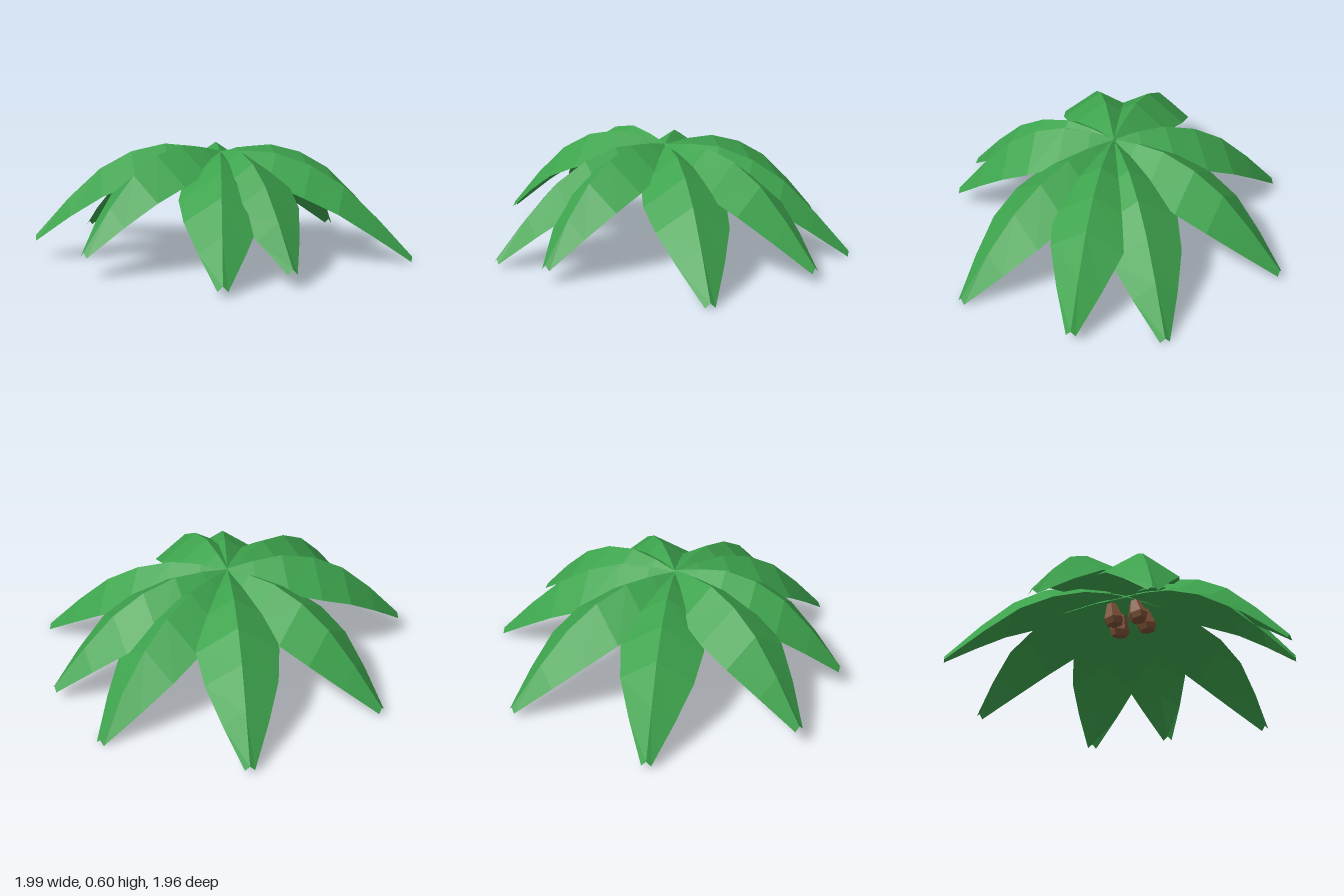
import * as THREE from 'three';

const green = new THREE.MeshStandardMaterial({ color: 0x3da34d, flatShading: true, side: THREE.DoubleSide });
green.name = 'leafGreen';
const brown = new THREE.MeshStandardMaterial({ color: 0x7f5238, flatShading: true });
brown.name = 'coconutBrown';

// Stations along a frond: [distance, ridge height, half width, edge drop, lift share]
const STATIONS = [
  [-0.02, 0.545, 0.045, 0.03, 0.1],
  [0.14, 0.565, 0.115, 0.08, 0.25],
  [0.30, 0.562, 0.19, 0.13, 0.5],
  [0.48, 0.505, 0.212, 0.14, 0.75],
  [0.65, 0.405, 0.185, 0.12, 0.9],
  [0.82, 0.245, 0.115, 0.08, 1],
  [1.00, 0.05, 0.025, 0.025, 1],
];

// Frond tips: x, z and ridge height
const TIPS = [
  [-0.10, -0.98, 0.06], [0.64, -0.74, 0.035], [0.90, -0.36, 0.08],
  [0.985, 0.27, 0.035], [0.33, 0.835, 0.1], [0, 0.98, 0.055],
  [-0.68, 0.65, 0.14], [-0.99, 0.19, 0.13], [-0.80, -0.56, 0.06],
];
const HUB = [-0.02, 0.015];

// A drooping frond, folded along its ridge
function frondGeometry([tx, tz, ty]) {
  const dx = tx - HUB[0], dz = tz - HUB[1];
  const length = Math.hypot(dx, dz);
  const sx = -dz / length, sz = dx / length;
  const lift = ty - 0.05;
  const positions = [], index = [];
  STATIONS.forEach(([d, y, w, drop, share], i) => {
    const x = HUB[0] + dx * d, z = HUB[1] + dz * d, ridge = y + lift * share;
    for (const side of [-1, 0, 1]) {
      positions.push(x + sx * w * side, ridge - drop * Math.abs(side), z + sz * w * side);
    }
    if (i === 0) return;
    for (let k = 0; k < 2; k++) {
      const a = (i - 1) * 3 + k, b = a + 1, c = a + 3, e = a + 4;
      index.push(a, b, c, b, e, c);
    }
  });
  // Wind the faces so that they point upwards
  const geometry = new THREE.BufferGeometry();
  geometry.setAttribute('position', new THREE.Float32BufferAttribute(positions, 3));
  for (let i = 0; i < index.length; i += 3) [index[i + 1], index[i + 2]] = [index[i + 2], index[i + 1]];
  geometry.setIndex(index);
  geometry.computeVertexNormals();
  if (geometry.attributes.normal.getY(4) < 0) {
    geometry.setIndex(index.reverse());
    geometry.computeVertexNormals();
  }
  return geometry;
}

export function createModel() {
  const model = new THREE.Group();
  model.name = 'palmCrown';

  // Ring of fronds
  TIPS.forEach((tip, i) => {
    const frond = new THREE.Mesh(frondGeometry(tip), green);
    frond.name = `frond${i + 1}`;
    model.add(frond);
  });

  // Faceted coconuts hanging under the middle
  const profile = [[0, -0.062], [0.042, -0.057], [0.056, -0.025], [0.028, 0.065], [0, 0.075]]
    .map(([r, y]) => new THREE.Vector2(r, y));
  const nut = new THREE.LatheGeometry(profile, 6);
  [[0.065, 0.08], [0.035, -0.075], [-0.06, 0.11], [-0.10, -0.02]].forEach(([x, z], i) => {
    const coconut = new THREE.Mesh(nut, brown);
    coconut.name = `coconut${i + 1}`;
    coconut.position.set(x, 0.41, z);
    coconut.rotation.set(-z * 1.5, i * 0.7, x * 1.5);
    model.add(coconut);
  });

  // Stand the model on the ground
  model.position.y = -new THREE.Box3().setFromObject(model).min.y;
  return model;
}
